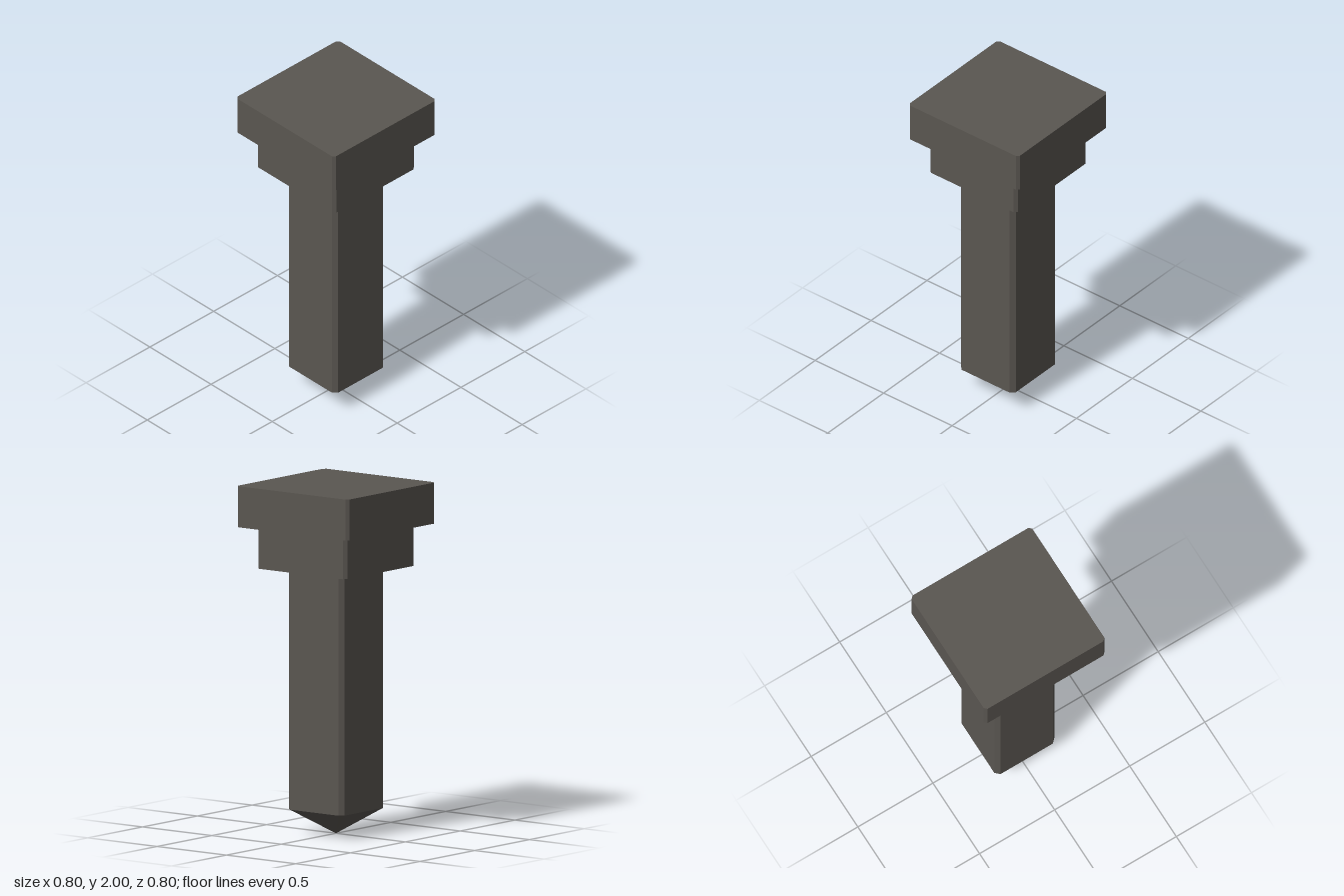
import * as THREE from 'three';

// Square outline with chamfered corners
function outline(half, cut) {
  const a = half, b = half - cut;
  return [[a, -b], [a, b], [b, a], [-b, a], [-a, b], [-a, -b], [-b, -a], [b, -a]]
    .map(([x, y]) => new THREE.Vector2(x, y));
}

// Upright chamfered block between two heights
function block(name, half, cut, y0, y1, material) {
  const geometry = new THREE.ExtrudeGeometry(new THREE.Shape(outline(half, cut)), {
    depth: y1 - y0, bevelEnabled: false,
  });
  geometry.rotateX(-Math.PI / 2).translate(0, y0, 0);
  const mesh = new THREE.Mesh(geometry, material);
  mesh.name = name;
  return mesh;
}

// Downward point, fanned from the shaft outline to its apex
function point(name, half, cut, y, material) {
  const ring = outline(half, cut);
  const positions = [];
  ring.forEach((p, i) => {
    const q = ring[(i + 1) % ring.length];
    positions.push(p.x, y, -p.y, 0, 0, 0, q.x, y, -q.y);
  });
  const geometry = new THREE.BufferGeometry();
  geometry.setAttribute('position', new THREE.Float32BufferAttribute(positions, 3));
  geometry.computeVertexNormals();
  const mesh = new THREE.Mesh(geometry, material);
  mesh.name = name;
  return mesh;
}

export function createModel() {
  const stone = new THREE.MeshStandardMaterial({ color: 0x5a5651, flatShading: true });
  stone.name = 'warm grey';

  const group = new THREE.Group();
  group.name = 'post';
  group.add(
    block('cap', 0.402, 0.016, 1.765, 2, stone),
    block('collar', 0.32, 0.018, 1.525, 1.765, stone),
    block('shaft', 0.2, 0.025, 0.143, 1.525, stone),
    point('tip', 0.2, 0.025, 0.143, stone),
  );
  return group;
}
